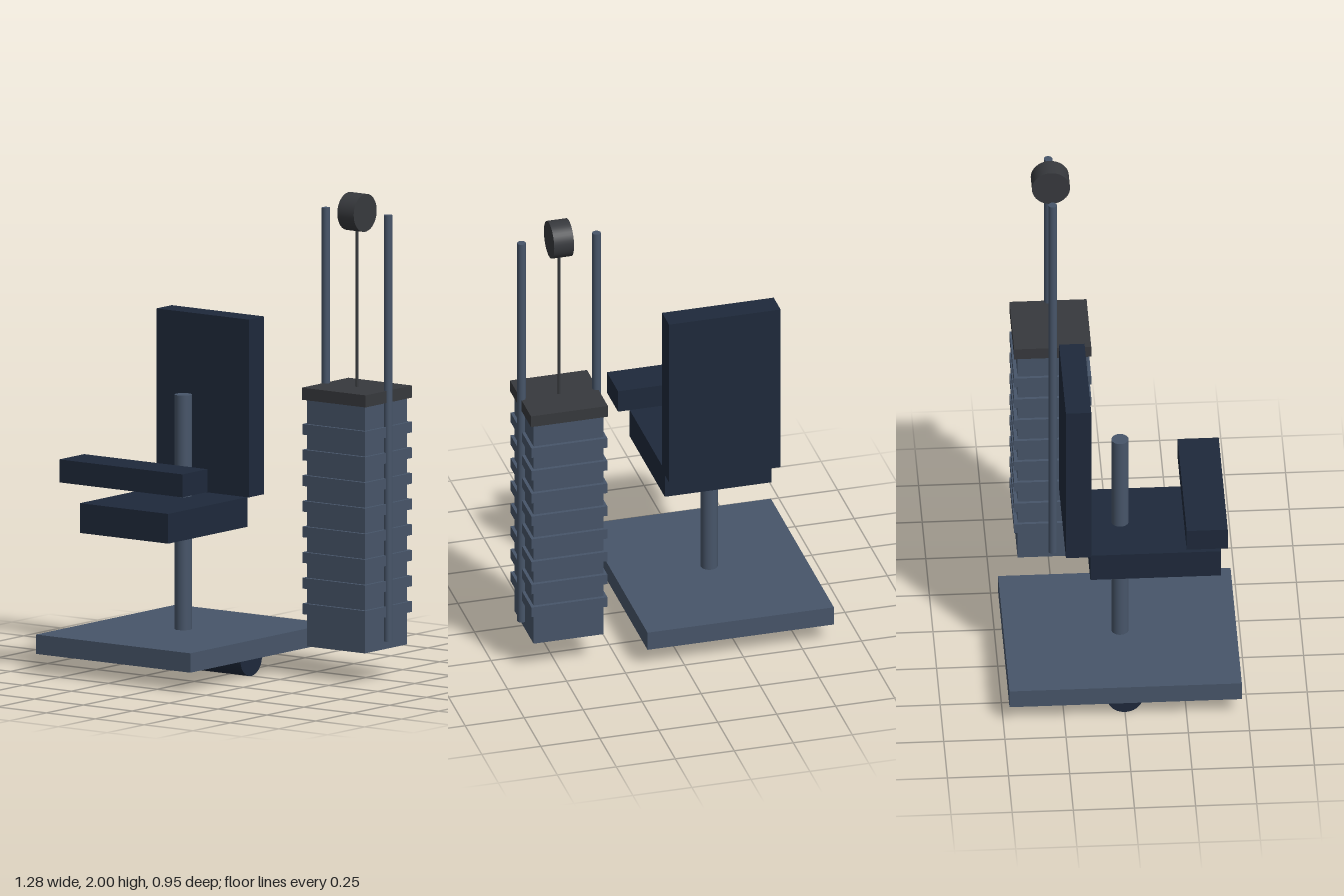
import * as THREE from 'three';

const material = (color) => new THREE.MeshStandardMaterial({ color });

export function createModel() {
  const model = new THREE.Group();
  const slate = material(0x475569);
  const navy = material(0x1e293b);
  const charcoal = material(0x37393d);

  function add(name, geometry, mat, x, y, z, parent = model) {
    const mesh = new THREE.Mesh(geometry, mat);
    mesh.name = name;
    mesh.position.set(x, y, z);
    parent.add(mesh);
    return mesh;
  }

  // Box given by its width, depth and vertical extent
  const box = (name, mat, x, z, w, d, y0, y1, parent) =>
    add(name, new THREE.BoxGeometry(w, y1 - y0, d), mat, x, (y0 + y1) / 2, z, parent);

  // Upright round bar given by its vertical extent
  const bar = (name, mat, x, z, r, y0, y1, parent) =>
    add(name, new THREE.CylinderGeometry(r, r, y1 - y0, 32), mat, x, (y0 + y1) / 2, z, parent);

  // Round part lying along x
  function roller(name, mat, x, y, z, r, length, parent) {
    add(name, new THREE.CylinderGeometry(r, r, length, 40), mat, x, y, z, parent)
      .rotation.z = Math.PI / 2;
  }

  // Seat unit: base on a foot roller, post, cushions and front pad
  const seatX = -0.245;
  const seatUnit = new THREE.Group();
  seatUnit.name = 'seatUnit';
  model.add(seatUnit);
  roller('footRoller', navy, seatX, 0.073, 0, 0.073, 0.695, seatUnit);
  box('basePlate', slate, seatX, 0, 0.79, 0.95, 0.08, 0.16, seatUnit);
  bar('post', slate, seatX, 0, 0.035, 0.15, 1.13, seatUnit);
  box('seat', navy, seatX, 0.133, 0.452, 0.535, 0.587, 0.71, seatUnit);
  box('backrest', navy, seatX, -0.183, 0.473, 0.104, 0.71, 1.445, seatUnit);
  box('thighPad', navy, seatX, 0.338, 0.63, 0.168, 0.79, 0.885, seatUnit);

  // Weight tower: ribbed stack between two guide rods, cable and pulley
  const towerX = 0.46, towerZ = -0.243;
  const tower = new THREE.Group();
  tower.name = 'weightTower';
  model.add(tower);
  box('stackCore', slate, towerX, towerZ, 0.296, 0.286, 0.13, 1.15, tower);
  for (let i = 0; i < 8; i++) {
    const y = 0.286 + i * 0.106;
    box('weightPlate', slate, towerX, towerZ, 0.322, 0.315, y - 0.022, y + 0.022, tower);
  }
  box('topPlate', charcoal, towerX, towerZ, 0.326, 0.315, 1.15, 1.2, tower);
  for (const side of [-1, 1]) {
    bar('guideRod', slate, towerX + side * 0.159, towerZ, 0.0175, 0.163, 1.925, tower);
  }
  bar('cable', charcoal, towerX, towerZ, 0.007, 1.19, 1.9, tower);
  roller('pulley', charcoal, towerX, 1.922, towerZ, 0.078, 0.084, tower);

  return model;
}
